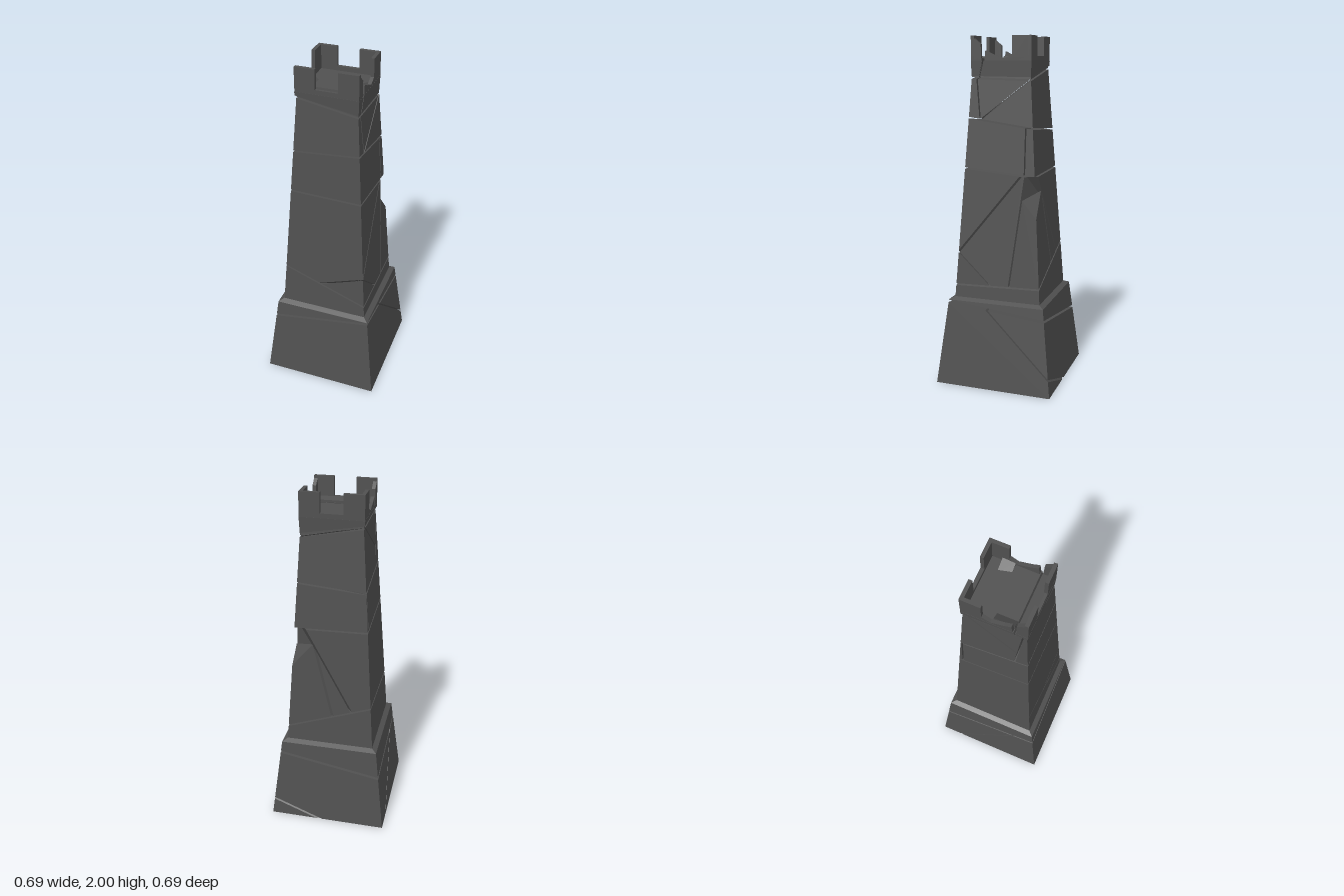
import * as THREE from 'three';
import { ConvexGeometry } from 'three/addons/geometries/ConvexGeometry.js';

const stone = new THREE.MeshStandardMaterial({ color: 0x505050, flatShading: true });
const V = (x, y, z) => new THREE.Vector3(x, y, z);
const facing = (n, p) => new THREE.Plane().setFromNormalAndCoplanarPoint(n.normalize(), p);

// A convex block is a list of outward-facing planes
function frustum(y0, h0, y1, h1) {
  const s = (h0 - h1) / (y1 - y0);
  return [
    facing(V(0, -1, 0), V(0, y0, 0)), facing(V(0, 1, 0), V(0, y1, 0)),
    facing(V(1, s, 0), V(h0, y0, 0)), facing(V(-1, s, 0), V(-h0, y0, 0)),
    facing(V(0, s, 1), V(0, y0, h0)), facing(V(0, s, -1), V(0, y0, -h0)),
  ];
}

function box(x0, x1, y0, y1, z0, z1) {
  return [
    facing(V(1, 0, 0), V(x1, 0, 0)), facing(V(-1, 0, 0), V(x0, 0, 0)),
    facing(V(0, 1, 0), V(0, y1, 0)), facing(V(0, -1, 0), V(0, y0, 0)),
    facing(V(0, 0, 1), V(0, 0, z1)), facing(V(0, 0, -1), V(0, 0, z0)),
  ];
}

// Corner points: triple plane intersections lying inside every plane
function corners(planes) {
  const pts = [];
  const n = planes.length;
  for (let i = 0; i < n; i++) for (let j = i + 1; j < n; j++) for (let k = j + 1; k < n; k++) {
    const [a, b, c] = [planes[i], planes[j], planes[k]];
    const bc = b.normal.clone().cross(c.normal);
    const det = a.normal.dot(bc);
    if (Math.abs(det) < 1e-5) continue;
    const p = bc.multiplyScalar(-a.constant)
      .addScaledVector(c.normal.clone().cross(a.normal), -b.constant)
      .addScaledVector(a.normal.clone().cross(b.normal), -c.constant)
      .divideScalar(det);
    if (planes.every((q) => q.distanceToPoint(p) < 1e-6) && !pts.some((q) => q.distanceTo(p) < 1e-4)) pts.push(p);
  }
  return pts;
}

// Crack through three points; returns the two blocks [above, below] (or [+,-] side)
function split(block, a, b, c, gap = 0.008) {
  const p = new THREE.Plane().setFromCoplanarPoints(V(...a), V(...b), V(...c));
  const lead = Math.abs(p.normal.y) > 0.3 ? p.normal.y : p.normal.z;
  if (lead < 0) p.negate();
  const under = p.clone(), over = p.clone().negate();
  under.constant += gap / 2;
  over.constant += gap / 2;
  return [[...block, over], [...block, under]];
}

export function createModel() {
  const tower = new THREE.Group();
  tower.name = 'ruinedTower';

  function addBlock(name, planes, parent = tower) {
    const pts = corners(planes);
    if (pts.length < 4) return;
    const mesh = new THREE.Mesh(new ConvexGeometry(pts), stone);
    mesh.name = name;
    parent.add(mesh);
  }

  // Plinth with bevelled rim, broken along a tilted and a diagonal crack
  const plinth = frustum(0, 0.345, 0.515, 0.284);
  for (const [x, z] of [[1, 0], [-1, 0], [0, 1], [0, -1]]) {
    plinth.push(facing(V(x, 2, z), V(x * 0.285, 0.5, z * 0.285)));
  }
  const [rim, foot] = split(plinth, [-0.29, 0.4, 0.29], [0.285, 0.49, 0.285], [0.29, 0.45, -0.1], 0.014);
  addBlock('plinthRim', rim);
  split(foot, [0.29, 0.45, 0.04], [0.335, 0.1, -0.335], [0.05, 0, -0.345])
    .forEach((b) => addBlock('plinthBlock', b));

  // Shaft split into courses by tilted cracks, from the bottom up
  const shaft = frustum(0.51, 0.257, 1.85, 0.168);
  const levels = [
    [[-0.24, 0.76, 0.24], [0.255, 0.585, 0.255], [0.25, 0.6, -0.25]],
    [[-0.2, 1.275, 0.2], [0.2, 1.265, 0.2], [0.2, 1.23, -0.2]],
    [[-0.19, 1.52, 0.19], [0.19, 1.55, 0.19], [0.19, 1.5, -0.17]],
    [[-0.17, 1.83, 0.17], [0.17, 1.77, 0.17], [0.17, 1.76, -0.17]],
  ];
  const courses = [];
  let rest = shaft;
  for (const l of levels) {
    const [over, under] = split(rest, ...l, 0.01);
    courses.push(under);
    rest = over;
  }
  courses.push(rest);
  const [lower, middle, upper, neck, head] = courses;

  addBlock('lowerCourse', lower);

  // Middle course: front wedge, main mass and the fractured right rear
  const [bulk, wedge] = split(middle, [-0.04, 0.68, 0.245], [0.24, 0.78, 0.24], [0.24, 0.6, 0.05], 0.006);
  addBlock('frontWedge', wedge);
  const [main, rear] = split(bulk, [0.24, 0.78, 0.24], [0.21, 1.14, -0.06], [0.02, 1.0, -0.225]);
  addBlock('middleBlock', main);
  const [side, back] = split(rear, [0.24, 0.74, -0.09], [0.22, 1.05, -0.13], [0, 0.75, -0.24]);
  addBlock('rearSideBlock', side);
  // chipped rear corner
  addBlock('rearCornerBlock', [...back, facing(V(1, 0.9, -1), V(0.21, 1.03, -0.21))]);

  // Upper course with a narrow rear sliver
  split(upper, [0.2, 1.27, -0.15], [0.2, 1.5, -0.15], [-0.2, 1.27, -0.185])
    .forEach((b) => addBlock('upperBlock', b));

  // Neck: detached front slab plus a diagonal break
  const [slab, core] = split(neck, [0.18, 1.6, 0.125], [0.17, 1.75, 0.14], [-0.17, 1.75, 0.14]);
  addBlock('frontSlab', slab);
  split(core, [0.18, 1.6, 0.04], [0.17, 1.76, -0.17], [-0.18, 1.68, 0.05])
    .forEach((b) => addBlock('neckBlock', b));

  // Head under the parapet, split from the front strip
  split(head, [0.17, 1.76, 0.13], [0.17, 1.86, 0.105], [-0.17, 1.86, 0.105])
    .forEach((b) => addBlock('headBlock', b));

  // Flared collar: tilted underside, cracked behind the front strip
  const collar = split(frustum(1.74, 0.172, 1.865, 0.177),
    [-0.17, 1.835, 0.17], [0.17, 1.775, 0.17], [0.17, 1.77, -0.17], 0.012)[0];
  split(collar, [0.17, 1.77, 0.13], [0.17, 1.865, 0.105], [-0.17, 1.865, 0.105])
    .forEach((b) => addBlock('collar', b));

  // Parapet walls
  const O = 0.176, T = 0.02;
  addBlock('frontParapet', [...box(-O, O, 1.86, 1.89, 0.112, O), facing(V(0, 1, -0.25), V(0, 1.887, 0.15))]);
  addBlock('backParapet', box(-O, O, 1.86, 1.89, -O, -O + T));

  // Side walls with a jagged top, drawn as z, y and extruded along x
  const jagged = [[-0.17, 1.84], [0.1, 1.84], [0.09, 1.92], [0.05, 1.9], [-0.02, 1.875], [-0.07, 1.9], [-0.17, 1.89]];
  for (const s of [1, -1]) {
    const shape = new THREE.Shape(jagged.map(([z, y]) => new THREE.Vector2(-z, y)));
    const wall = new THREE.Mesh(new THREE.ExtrudeGeometry(shape, { depth: T, bevelEnabled: false }), stone);
    wall.name = s > 0 ? 'leftParapet' : 'rightParapet';
    wall.rotation.y = Math.PI / 2;
    wall.position.x = s > 0 ? O - T : -O;
    tower.add(wall);
  }

  // Corner merlons: thin L-shaped walls, the front pair with broken returns
  for (const sx of [1, -1]) for (const sz of [1, -1]) {
    const merlon = new THREE.Group();
    merlon.name = (sz > 0 ? 'front' : 'back') + (sx > 0 ? 'Left' : 'Right') + 'Merlon';
    const span = (s, a, b) => (s > 0 ? [a, b] : [-b, -a]);
    const reach = sz > 0 ? 0.117 : 0.065;
    addBlock('merlonFace', box(...span(sx, 0.063, O), 1.88, 2, ...span(sz, O - T, O)), merlon);
    const side = box(...span(sx, O - T, O), 1.87, 2, ...span(sz, reach, O - T));
    if (sz > 0) side.push(facing(V(0, 1, -0.8), V(0, 1.985, O - T)));
    addBlock('merlonReturn', side, merlon);
    tower.add(merlon);
  }

  // Fallen rubble on the roof
  addBlock('roofRubble', [...box(-0.156, -0.11, 1.86, 1.9, -0.01, 0.1), facing(V(0.7, 1, 0), V(-0.15, 1.89, 0))]);
  addBlock('roofRubble', [...box(0.08, 0.156, 1.86, 1.89, -0.1, -0.03),
    facing(V(-0.4, 1, 0.1), V(0.156, 1.885, -0.06))]);

  return tower;
}
